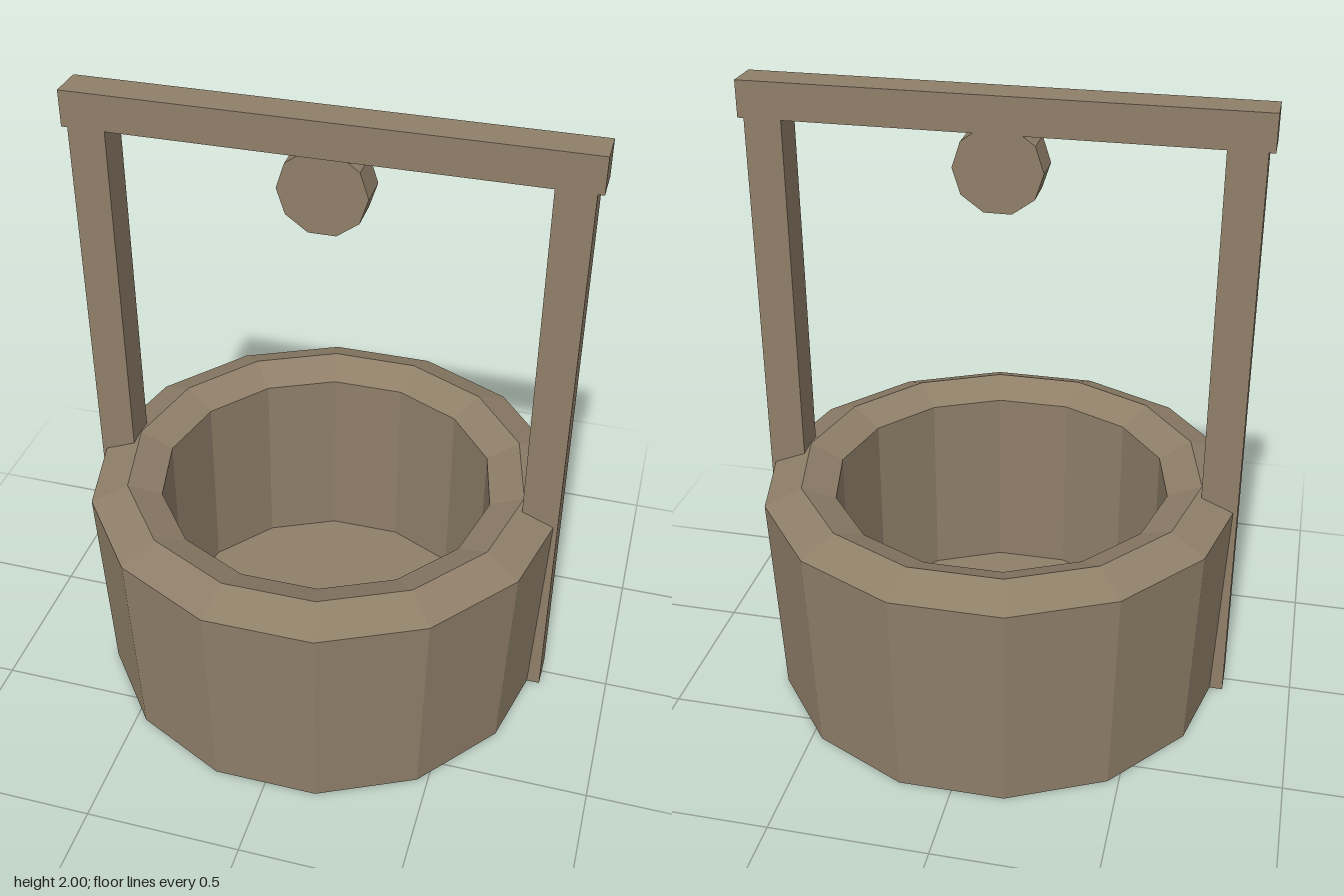
import * as THREE from 'three';

export function createModel() {
  const group = new THREE.Group();
  const wood = new THREE.MeshStandardMaterial({ color: 0x8f7f69, flatShading: true });
  wood.name = 'weathered brown';

  const add = (name, geometry, x, y, z) => {
    const mesh = new THREE.Mesh(geometry, wood);
    mesh.name = name;
    mesh.position.set(x, y, z);
    group.add(mesh);
  };

  // Hollow basin: underside, flared wall, peaked rim, inner wall, floor
  const profile = [
    [0, 0], [0.748, 0], [0.777, 0.7], [0.657, 0.75], [0.548, 0.7], [0.548, 0.04], [0, 0.04],
  ].map(([r, y]) => new THREE.Vector2(r, y));
  add('wellBasin', new THREE.LatheGeometry(profile, 14, Math.PI / 2), 0, 0, 0);

  // Posts on both sides, standing through the wall
  for (const side of [-1, 1]) {
    add(side > 0 ? 'leftPost' : 'rightPost',
      new THREE.BoxGeometry(0.117, 1.885, 0.117), side * 0.719, 0.9425, 0);
  }

  // Crossbeam
  add('crossbeam', new THREE.BoxGeometry(1.594, 0.115, 0.117), 0, 1.9425, 0);

  // Ten-sided pulley, its top flat set into the beam
  const pulley = new THREE.CylinderGeometry(0.139, 0.139, 0.11, 10)
    .rotateY(Math.PI / 10).rotateX(Math.PI / 2);
  add('pulley', pulley, 0, 1.775, 0);

  return group;
}
